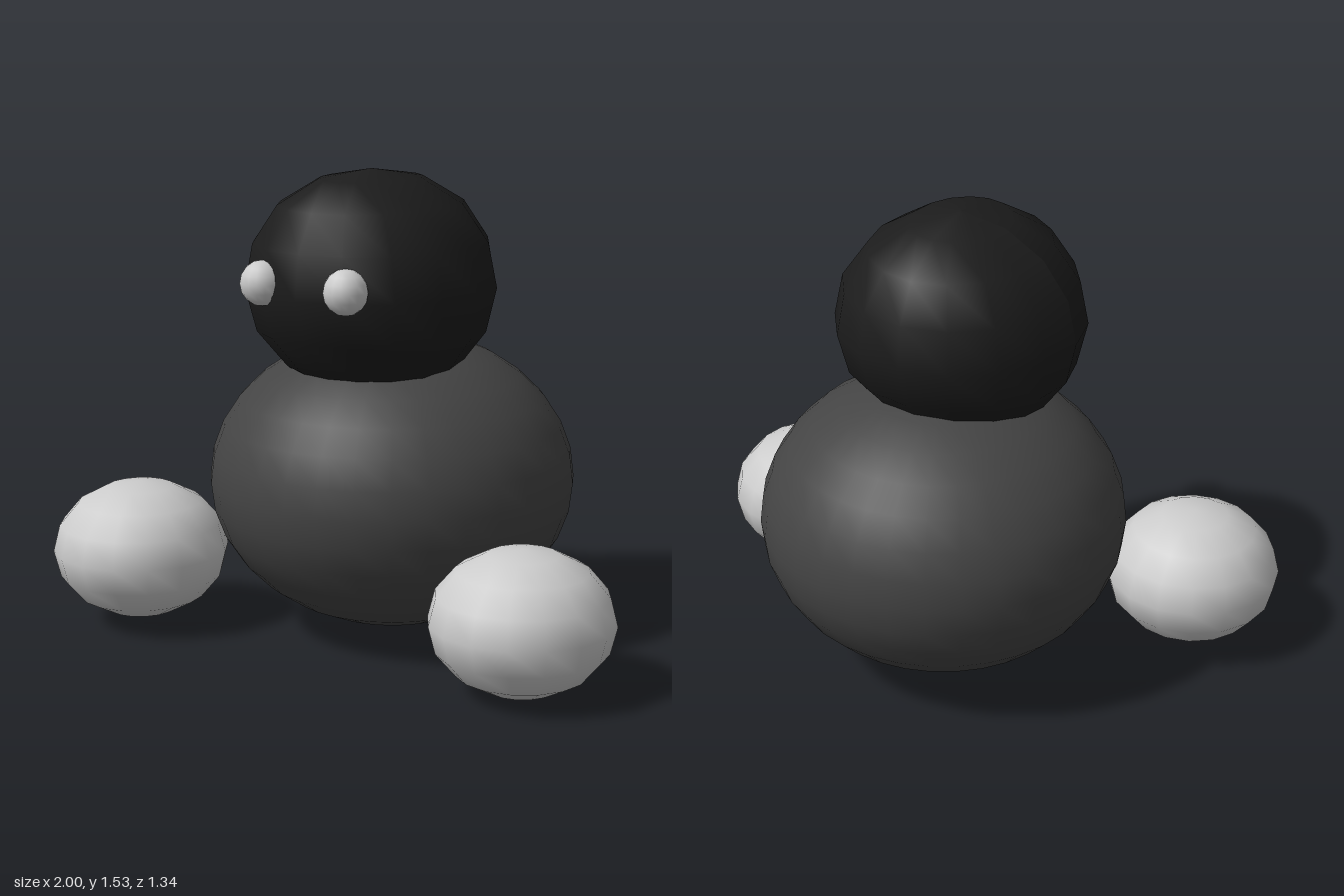
import * as THREE from 'three';

const material = (color) => new THREE.MeshStandardMaterial({ color });

// Smooth ellipsoid with given radii and position
function ellipsoid(name, mat, [rx, ry, rz], position, segments) {
  const geometry = new THREE.SphereGeometry(1, segments, segments / 2);
  geometry.scale(rx, ry, rz);
  const mesh = new THREE.Mesh(geometry, mat);
  mesh.name = name;
  mesh.position.set(...position);
  return mesh;
}

export function createModel() {
  const group = new THREE.Group();
  const grey = material(0xcccccc);
  const bodyDark = material(0x444444);
  const headDark = material(0x1c1c1c);

  // Squat round body
  group.add(ellipsoid('body', bodyDark, [0.6, 0.485, 0.6], [0, 0.515, -0.07], 32));

  // Head: fuller front and back at the crown, tapering toward the neck
  const head = ellipsoid('head', headDark, [0.405, 0.37, 0.41], [0, 1.17, 0.05], 16);
  const pos = head.geometry.attributes.position;
  for (let i = 0; i < pos.count; i++) {
    const ny = pos.getY(i) / 0.37;
    pos.setZ(i, pos.getZ(i) * (1 + 0.24 * ny * Math.abs(ny)));
  }
  head.geometry.computeVertexNormals();
  group.add(head);

  // Eyes
  for (const [name, side] of [['leftEye', 1], ['rightEye', -1]]) {
    group.add(ellipsoid(name, grey, [0.07, 0.072, 0.07], [side * 0.158, 1.208, 0.417], 16));
  }

  // Feet, the right one set a little further forward
  const footSize = [0.29, 0.228, 0.293];
  group.add(ellipsoid('leftFoot', grey, footSize, [0.707, 0.233, 0.275], 16));
  group.add(ellipsoid('rightFoot', grey, footSize, [-0.71, 0.258, 0.377], 16));

  return group;
}
